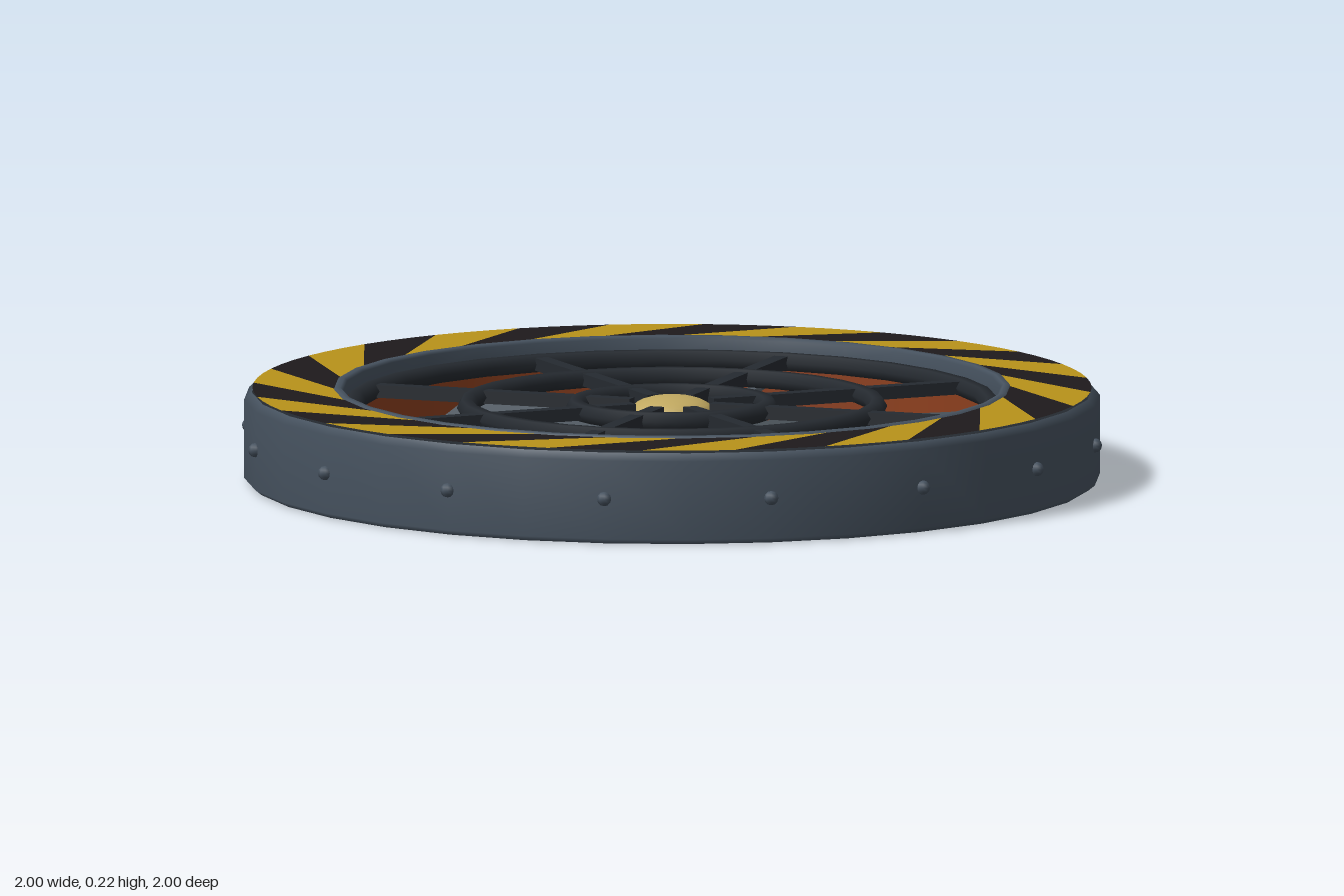
import * as THREE from 'three';

const SEG = 32;
const mat = (color, extra = {}) => new THREE.MeshStandardMaterial({ color, ...extra });
const DS = { side: THREE.DoubleSide };

function add(parent, name, geometry, material, x = 0, y = 0, z = 0) {
  const mesh = new THREE.Mesh(geometry, material);
  mesh.name = name;
  mesh.position.set(x, y, z);
  parent.add(mesh);
  return mesh;
}

const lathe = (pts, seg = SEG) =>
  new THREE.LatheGeometry(pts.map(([r, y]) => new THREE.Vector2(r, y)), seg);

// Slanted hazard stripes: every second sector of a ring, skewed inward
function stripeGeometry(first, count, inner, outer, y) {
  const half = Math.PI / count, skew = half * 1.5, steps = 3;
  const pos = [], index = [];
  for (let i = 0; i < count; i++) {
    const start = (2 * i + first) * half, base = pos.length / 3;
    for (let s = 0; s <= steps; s++) {
      const a = start + (s / steps) * half;
      pos.push(outer * Math.sin(a), y, outer * Math.cos(a));
      pos.push(inner * Math.sin(a + skew), y, inner * Math.cos(a + skew));
    }
    for (let s = 0; s < steps; s++) {
      const k = base + 2 * s;
      index.push(k, k + 2, k + 1, k + 1, k + 2, k + 3);
    }
  }
  const g = new THREE.BufferGeometry();
  g.setAttribute('position', new THREE.Float32BufferAttribute(pos, 3));
  g.setIndex(index);
  g.computeVertexNormals();
  return g;
}

export function createModel() {
  const model = new THREE.Group();
  model.name = 'ventFan';
  const steel = mat(0x46525f, DS);
  const dark = mat(0x252a30, DS);
  const bladeMat = mat(0x525b63);
  const brass = mat(0xc0a860);

  // Outer casing, a thin wall open underneath
  add(model, 'casing', lathe([[0.985, 0.008], [1, 0.02], [1, 0.205], [0.982, 0.222]]), steel);
  add(model, 'casingTop', new THREE.RingGeometry(0.77, 0.984, SEG).rotateX(-Math.PI / 2), dark, 0, 0.218, 0);

  // Rivets around the wall
  const rivets = new THREE.Group();
  rivets.name = 'rivets';
  model.add(rivets);
  const rivetGeo = new THREE.SphereGeometry(0.017, 8, 6);
  for (let i = 0; i < 16; i++) {
    const a = ((i + 0.5) / 16) * Math.PI * 2;
    add(rivets, 'rivet', rivetGeo, steel, Math.sin(a), 0.115, Math.cos(a));
  }

  // Hazard stripes
  add(model, 'yellowStripes', stripeGeometry(1, 14, 0.785, 0.98, 0.228), mat(0xb8921a, DS));
  add(model, 'blackStripes', stripeGeometry(0, 14, 0.785, 0.98, 0.228), mat(0x1e1a1c, DS));

  // Collar around the opening
  add(model, 'collar', lathe([[0.768, 0.19], [0.768, 0.225], [0.775, 0.232], [0.788, 0.232], [0.794, 0.222]]), steel);

  // Glowing well
  add(model, 'wellWall', new THREE.CylinderGeometry(0.77, 0.77, 0.19, SEG, 1, true), mat(0x8c3f1e, DS), 0, 0.125, 0);
  add(model, 'wellFloor', new THREE.CircleGeometry(0.77, SEG).rotateX(-Math.PI / 2), mat(0xb87333, DS), 0, 0.03, 0);

  // Fan blades, pitched about their own length
  const fan = new THREE.Group();
  fan.name = 'fan';
  model.add(fan);
  const bladeGeo = new THREE.BoxGeometry(0.6, 0.012, 0.195).rotateX(-0.4).translate(0.38, 0, 0);
  for (let i = 0; i < 6; i++) {
    add(fan, 'blade', bladeGeo, bladeMat, 0, 0.11, 0).rotation.y = (i * Math.PI) / 3;
  }

  // Hub with a brass cap
  add(fan, 'hub', new THREE.CylinderGeometry(0.11, 0.12, 0.14, 16), mat(0x7d6a35), 0, 0.1, 0);
  const cap = add(fan, 'hubCap', new THREE.SphereGeometry(0.1, 16, 6, 0, Math.PI * 2, 0, Math.PI / 2), brass, 0, 0.17, 0);
  cap.scale.y = 0.4;

  // Guard grille: rings and spokes
  const grille = new THREE.Group();
  grille.name = 'grille';
  grille.position.y = 0.182;
  model.add(grille);
  for (const [r, tube] of [[0.225, 0.023], [0.48, 0.023], [0.747, 0.023]]) {
    add(grille, 'grilleRing', new THREE.TorusGeometry(r, tube, 6, SEG).rotateX(Math.PI / 2), dark);
  }
  const spokeGeo = new THREE.BoxGeometry(0.64, 0.03, 0.034).translate(0.42, 0, 0);
  for (let i = 0; i < 8; i++) {
    add(grille, 'spoke', spokeGeo, dark).rotation.y = ((i + 0.5) * Math.PI) / 4;
  }
  return model;
}
